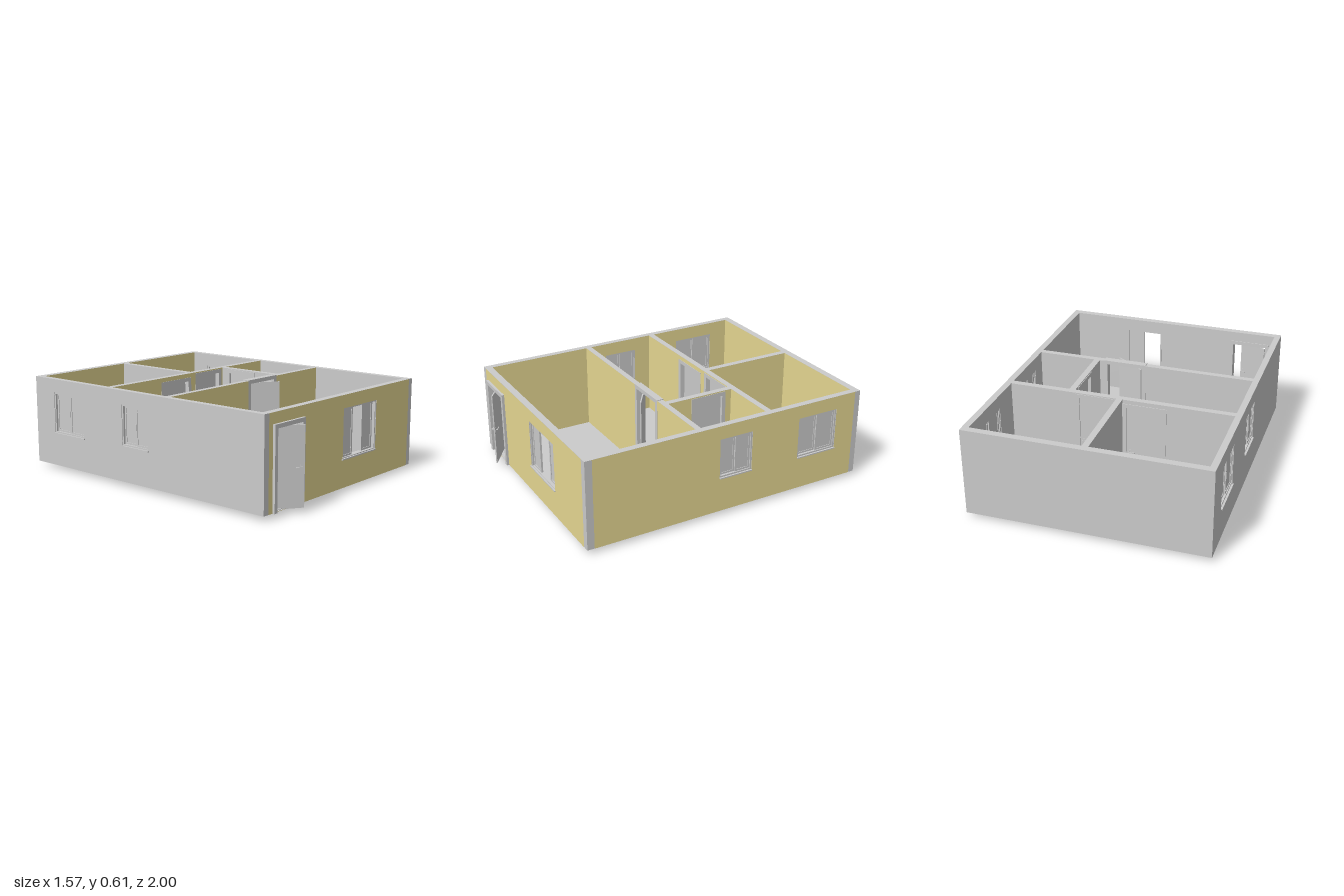
import * as THREE from 'three';

const grey = new THREE.MeshStandardMaterial({ color: 0xcccccc, side: THREE.DoubleSide });
const paint = new THREE.MeshStandardMaterial({ color: 0xe6d892 });
const Y0 = 0.03, Y1 = 0.607;

// Box given by its limits along u (the wall), y and d (through the wall)
function slab(parent, name, u0, u1, y0, y1, d0, d1) {
  const m = new THREE.Mesh(new THREE.BoxGeometry(u1 - u0, y1 - y0, d1 - d0), grey);
  m.position.set((u0 + u1) / 2, (y0 + y1) / 2, (d0 + d1) / 2);
  m.name = name;
  parent.add(m);
  return m;
}

function rect(Type, u0, u1, y0, y1) {
  return new Type([[u0, y0], [u1, y0], [u1, y1], [u0, y1]].map(p => new THREE.Vector2(...p)));
}

// Wall with openings; skin = [u0, u1] paints the face on its positive side
function wall(parent, name, u0, u1, d0, d1, holes = [], skin = null) {
  const make = (a, b) => {
    const s = rect(THREE.Shape, a, b, Y0, Y1);
    // doors reach the ground, so their notch stops a hair above it
    holes.forEach(h => s.holes.push(rect(THREE.Path, h[0], h[1], Math.max(h[2], Y0 + 0.002), Math.min(h[3], Y1 - 0.002))));
    return s;
  };
  const body = new THREE.Mesh(new THREE.ExtrudeGeometry(make(u0, u1), { depth: d1 - d0, bevelEnabled: false }), grey);
  body.position.z = d0;
  body.name = name;
  parent.add(body);
  if (skin) {
    const coat = new THREE.Mesh(new THREE.ShapeGeometry(make(...skin)), paint);
    coat.position.z = d1 + 0.0015;
    coat.name = name + 'Paint';
    parent.add(coat);
  }
}

// Jambs and head, with an optional bottom rail
function frame(parent, name, [u0, u1, y0, y1], d0, d1, t, rail) {
  const g = new THREE.Group();
  g.name = name;
  slab(g, 'jamb', u0, u0 + t, y0, y1, d0, d1);
  slab(g, 'jamb', u1 - t, u1, y0, y1, d0, d1);
  slab(g, 'head', u0 + t, u1 - t, y1 - t, y1, d0, d1);
  if (rail) slab(g, 'bottomRail', u0 + t, u1 - t, y0, y0 + t, d0, d1);
  parent.add(g);
  return g;
}

// Framed door; the leaf hinges at its low-u edge, handles on both faces
function door(parent, name, box, d0, d1, hingeD, angle) {
  const [u0, u1, y0, y1] = box, t = 0.025, w = u1 - u0 - 2 * t;
  const g = frame(parent, name, box, d0, d1, t, false);
  const leaf = new THREE.Group();
  leaf.name = 'leaf';
  leaf.position.set(u0 + t, 0, hingeD);
  leaf.rotation.y = -angle;
  slab(leaf, 'panel', 0, w, y0, y1 - t, -0.004, 0.004);
  const hy = y0 + 0.24;
  for (const s of [-1, 1]) {
    const z = (a, b) => (s > 0 ? [a, b] : [-b, -a]);
    slab(leaf, 'handlePlate', w - 0.025, w - 0.013, hy - 0.02, hy + 0.015, ...z(0.004, 0.006));
    slab(leaf, 'handleStem', w - 0.022, w - 0.016, hy - 0.003, hy + 0.003, ...z(0.006, 0.018));
    slab(leaf, 'handleLever', w - 0.055, w - 0.016, hy - 0.003, hy + 0.003, ...z(0.014, 0.019));
  }
  g.add(leaf);
}

// One glazed sash: frame, pane and a small latch
function sash(parent, u0, u1, y0, y1, d) {
  const g = frame(parent, 'sash', [u0, u1, y0, y1], d - 0.006, d + 0.006, 0.012, true);
  slab(g, 'pane', u0 + 0.012, u1 - 0.012, y0 + 0.012, y1 - 0.012, d - 0.002, d + 0.002);
}

function sideWindow(parent, name, box, d0, d1, outward) {
  const [u0, u1, y0, y1] = box, mid = (u0 + u1) / 2, d = (d0 + d1) / 2;
  const g = frame(parent, name, box, d0 + 0.004, d1 - 0.004, 0.01, true);
  sash(g, u0 + 0.01, mid, y0 + 0.01, y1 - 0.01, d - 0.004);
  sash(g, mid, u1 - 0.01, y0 + 0.01, y1 - 0.01, d + 0.004);
  slab(g, 'latch', mid - 0.004, mid + 0.004, 0.37, 0.41, d - 0.014, d + 0.014);
  const face = outward > 0 ? d1 : d0 - 0.01;
  slab(g, 'sill', u0, u1, y0 - 0.006, y0 + 0.002, face, face + 0.01);
}

export function createModel() {
  const house = new THREE.Group();
  house.name = 'house';
  const along = new THREE.Group();   // walls running along x
  along.name = 'crossWalls';
  const across = new THREE.Group();  // walls running along z, where u = -z
  across.name = 'lengthWalls';
  across.rotation.y = Math.PI / 2;
  house.add(along, across);

  slab(house, 'floor', -0.765, 0.765, Y0, Y0 + 0.005, -0.99, 0.925);

  // Openings: [u0, u1, y0, y1]
  const frontDoor = [-0.695, -0.415, Y0, 0.54];
  const frontWindow = [-0.01, 0.35, 0.21, 0.525];
  const hallDoor = [-0.01, 0.28, Y0, 0.612];
  const bedDoorA = [-0.30, -0.015, 0, 0.58];
  const bedDoorB = [0.03, 0.295, Y0, 0.6];
  const bathDoor = [0.01, 0.26, Y0, 0.6];
  const sideWindows = [[-0.045, 0.185, 0.26, 0.52], [0.53, 0.82, 0.25, 0.52]];
  const inner = ([a, b, c, d]) => [a + 0.012, b - 0.012, c, d - 0.012];

  // Outer walls
  wall(along, 'frontWall', -0.77, 0.775, 0.89, 0.935, [inner(frontDoor), frontWindow], [-0.73, 0.735]);
  wall(along, 'backWall', -0.77, 0.775, -1, -0.955, [], [-0.73, 0.735]);
  wall(across, 'leftWall', -0.89, 0.955, 0.733, 0.775, sideWindows, [-0.889, 0.96]);
  wall(across, 'rightWall', -0.89, 0.955, -0.77, -0.73, sideWindows, [-0.89, 0.955]);

  // Partitions
  wall(along, 'hallPartition', -0.73, 0.733, 0.157, 0.195, [inner(hallDoor)], [-0.73, 0.733]);
  wall(along, 'bedroomPartition', -0.73, 0.733, -0.343, -0.303, [bedDoorA, bedDoorB].map(inner), [-0.73, 0.733]);
  wall(across, 'bedroomDivider', 0.343, 0.955, -0.015, 0.025, [], [0.343, 0.955]);
  wall(across, 'bathDivider', -0.157, 0.303, 0.31, 0.35, [inner(bathDoor)], [-0.157, 0.303]);

  // Doors
  door(along, 'frontDoor', frontDoor, 0.885, 0.953, 0.866, 0.61);
  door(along, 'hallDoor', hallDoor, 0.153, 0.199, 0.14, 0.61);
  door(along, 'bedroomDoorA', bedDoorA, -0.347, -0.299, -0.335, 0);
  door(along, 'bedroomDoorB', bedDoorB, -0.347, -0.299, -0.335, 0);
  door(across, 'bathDoor', bathDoor, 0.306, 0.354, 0.33, 0);

  // Windows
  for (const box of sideWindows) {
    sideWindow(across, 'leftWindow', box, 0.733, 0.775, 1);
    sideWindow(across, 'rightWindow', box, -0.77, -0.73, -1);
  }

  // Front window with its sashes slid apart
  const fw = frame(along, 'frontWindow', frontWindow, 0.894, 0.931, 0.008, true);
  sash(fw, 0, 0.11, 0.218, 0.517, 0.915);
  sash(fw, 0.227, 0.342, 0.218, 0.517, 0.905);
  slab(fw, 'sill', -0.02, 0.35, 0.205, 0.213, 0.93, 0.942);

  return house;
}
